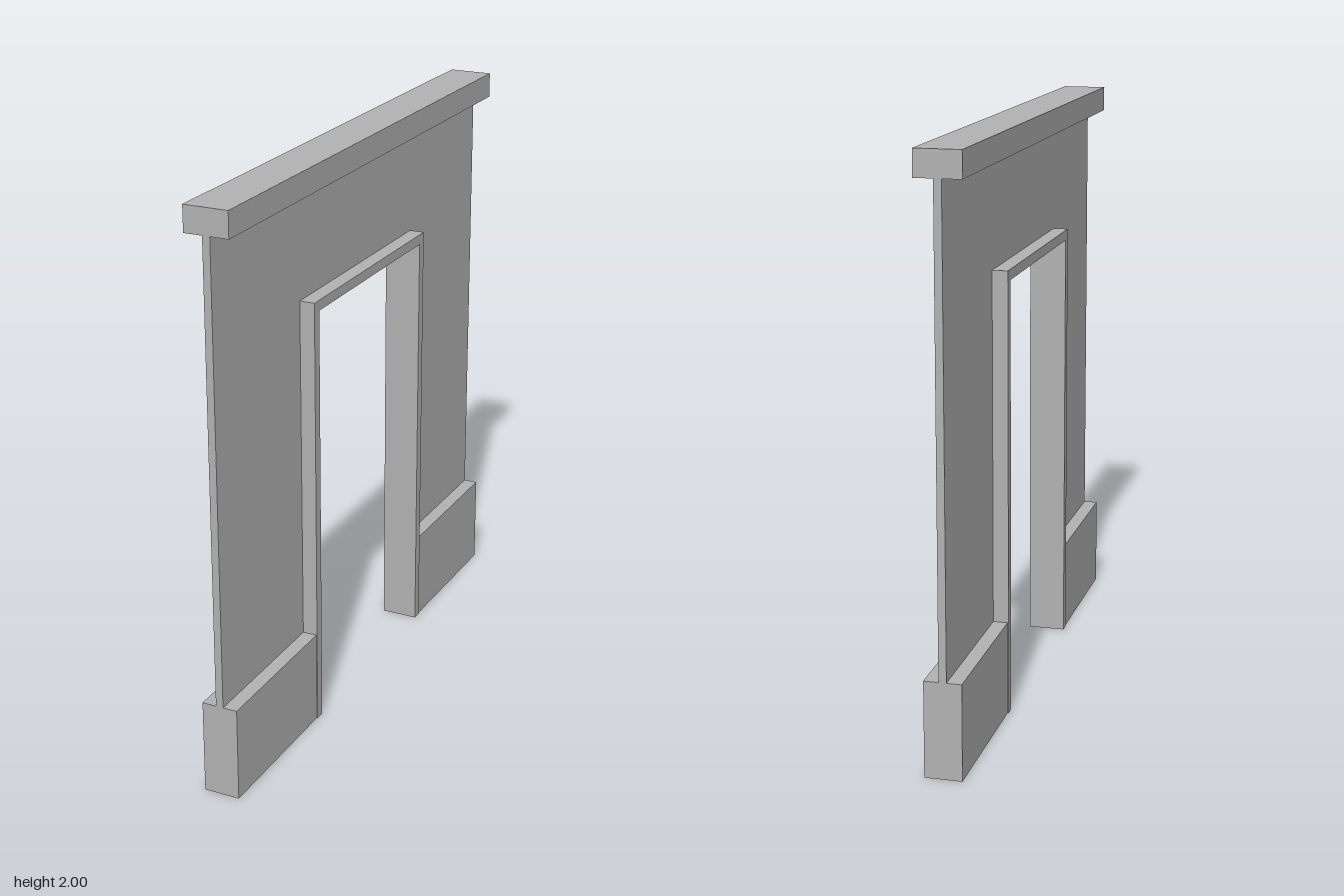
import * as THREE from 'three';

// Upside-down U in the z/y plane, extruded across x and centred on it
function arch(outerZ, top, innerZ, innerTop, thickness) {
  const shape = new THREE.Shape([
    [-outerZ, 0], [-innerZ, 0], [-innerZ, innerTop], [innerZ, innerTop],
    [innerZ, 0], [outerZ, 0], [outerZ, top], [-outerZ, top],
  ].map(([z, y]) => new THREE.Vector2(z, y)));
  const geometry = new THREE.ExtrudeGeometry(shape, { depth: thickness, bevelEnabled: false });
  geometry.translate(0, 0, -thickness / 2);
  geometry.rotateY(Math.PI / 2);
  return geometry;
}

export function createModel() {
  const model = new THREE.Group();
  model.name = 'doorwayWall';
  const plaster = new THREE.MeshStandardMaterial({ color: 0xb2b2b2 });
  plaster.name = 'grey plaster';

  const add = (name, geometry, x = 0, y = 0, z = 0) => {
    const mesh = new THREE.Mesh(geometry, plaster);
    mesh.name = name;
    mesh.position.set(x, y, z);
    model.add(mesh);
  };

  // Thin wall panel, meeting the outside of the door frame
  add('wallPanel', arch(1, 1.912, 0.433, 1.538, 0.026));

  // Door frame lining the opening
  add('doorFrame', arch(0.433, 1.538, 0.398, 1.502, 0.132));

  // Skirting blocks on both sides of the doorway
  for (const side of [-1, 1]) {
    add(side > 0 ? 'frontSkirting' : 'backSkirting',
      new THREE.BoxGeometry(0.126, 0.328, 0.567), 0, 0.164, side * 0.7165);
  }

  // Cap rail along the top
  add('capRail', new THREE.BoxGeometry(0.154, 0.088, 2), 0, 1.956, 0);

  return model;
}
